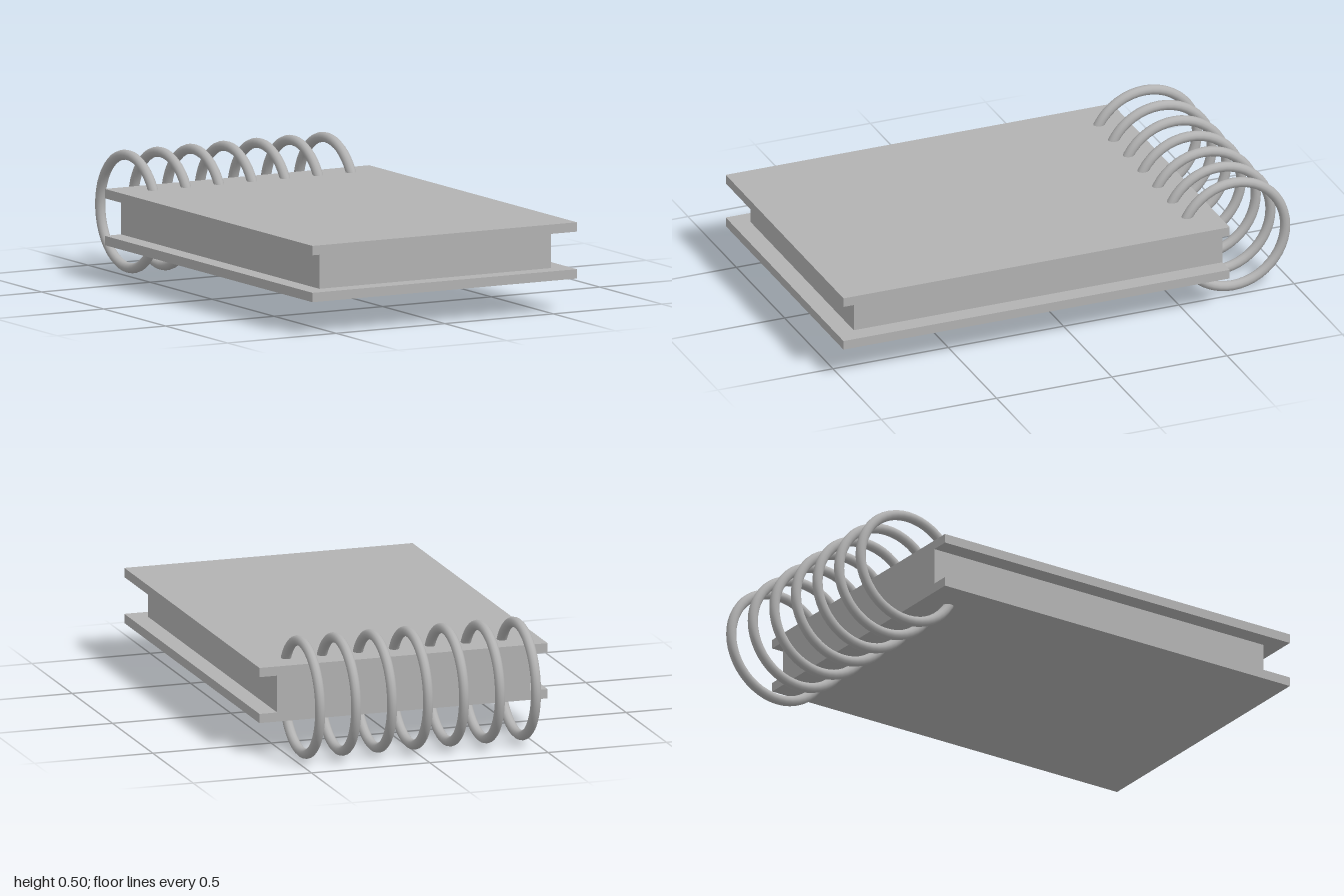
import * as THREE from 'three';

export function createModel() {
  const notebook = new THREE.Group();
  notebook.name = 'notepad';
  const grey = new THREE.MeshStandardMaterial({ color: 0xb2b2b2 });
  grey.name = 'grey';

  const midY = 0.2485; // height of the ring axis and the middle of the pad
  const backZ = -0.675;

  // Slab whose back edge is flush with the spine
  function slab(name, width, height, frontZ, y) {
    const depth = frontZ - backZ;
    const mesh = new THREE.Mesh(new THREE.BoxGeometry(width, height, depth), grey);
    mesh.name = name;
    mesh.position.set(0, y, backZ + depth / 2);
    notebook.add(mesh);
  }

  // Covers and page block
  slab('frontCover', 1.218, 0.038, 1, midY + 0.095);
  slab('backCover', 1.218, 0.038, 1, midY - 0.095);
  slab('pages', 1.068, 0.152, 0.924, midY);

  // Row of binding rings
  const tube = 0.0205;
  const ringGeometry = new THREE.TorusGeometry(midY - tube, tube, 12, 48);
  ringGeometry.rotateY(Math.PI / 2);
  const rings = new THREE.Group();
  rings.name = 'bindingRings';
  for (let i = -3; i <= 3; i++) {
    const ring = new THREE.Mesh(ringGeometry, grey);
    ring.name = 'ring';
    ring.position.set(i * 0.152, midY, -1 + midY);
    rings.add(ring);
  }
  notebook.add(rings);

  return notebook;
}
